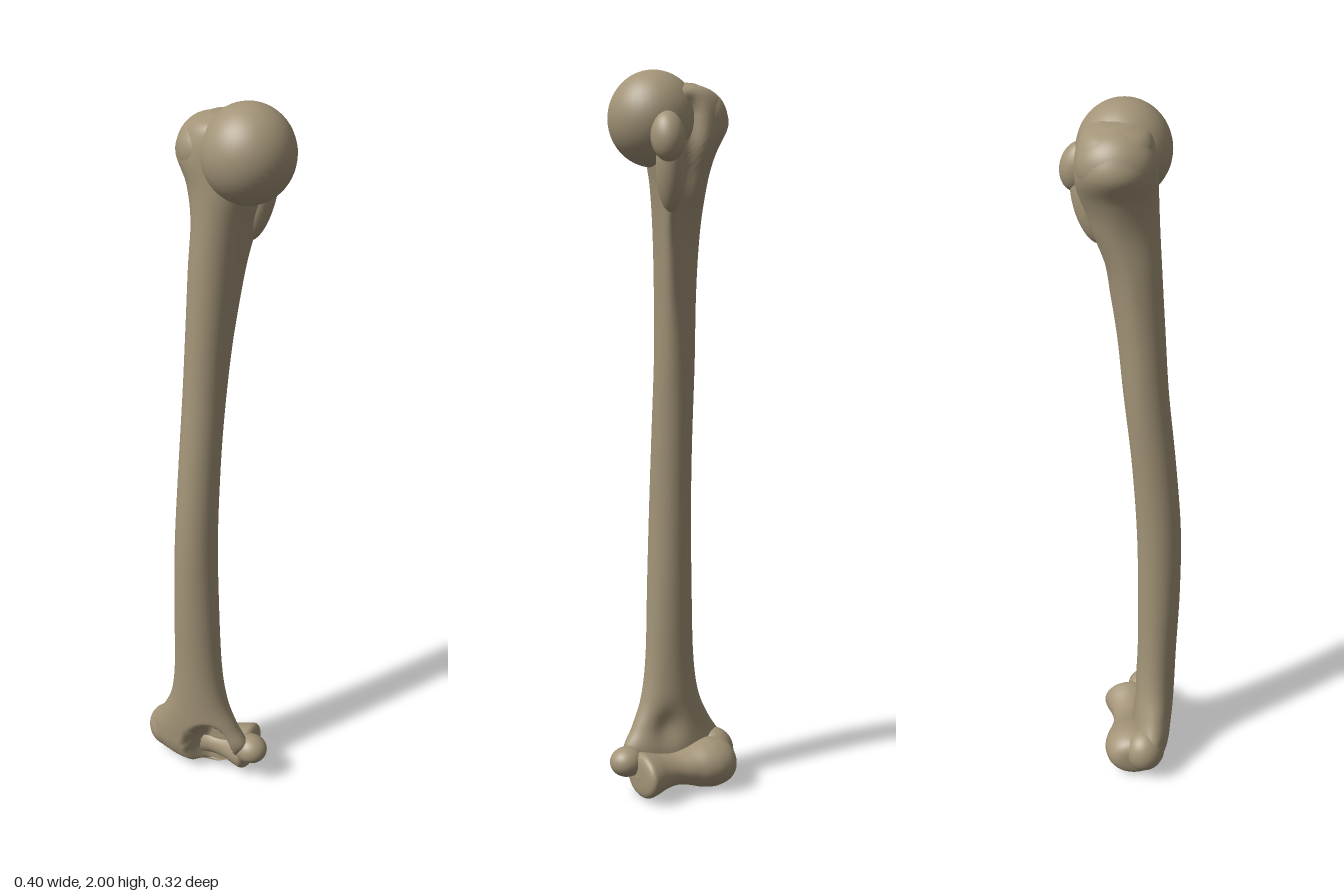
import * as THREE from 'three';

const bone = new THREE.MeshStandardMaterial({ color: 0xa39478 });
bone.name = 'bone';

const { smoothstep, lerp } = THREE.MathUtils;
const bump = (d) => Math.exp(-d * d);

// Cross-sections of the long bone: y, x min, x max, z min, z max
const RINGS = [
  [0.025, -0.08, 0.03, 0.06, 0.09],
  [0.04, -0.14, 0.06, 0.035, 0.12],
  [0.08, -0.18, 0.10, 0.025, 0.135],
  [0.13, -0.175, 0.135, 0.025, 0.142],
  [0.19, -0.138, 0.105, 0.03, 0.147],
  [0.27, -0.103, 0.073, 0.035, 0.15],
  [0.39, -0.087, 0.055, 0.04, 0.153],
  [0.6, -0.082, 0.046, 0.04, 0.16],
  [0.81, -0.077, 0.04, 0.035, 0.158],
  [1.03, -0.072, 0.04, 0.02, 0.14],
  [1.24, -0.069, 0.043, -0.003, 0.118],
  [1.42, -0.066, 0.05, -0.022, 0.106],
  [1.58, -0.066, 0.062, -0.052, 0.096],
  [1.7, -0.068, 0.08, -0.1, 0.089],
  [1.79, -0.087, 0.1, -0.12, 0.085],
  [1.86, -0.12, 0.1, -0.122, 0.082],
  [1.91, -0.108, 0.1, -0.117, 0.075],
  [1.945, -0.078, 0.09, -0.1, 0.06],
  [1.965, -0.03, 0.05, -0.06, 0.02],
];

// Smooth loft through the rings, with ridge, groove and hollow shaped by rule
function shaftGeometry(sides = 56, rows = 150) {
  const curve = (ix, iz) => new THREE.CatmullRomCurve3(
    RINGS.map((r) => new THREE.Vector3(r[ix], r[0], r[iz])), false, 'catmullrom', 0.5);
  const low = curve(1, 3), high = curve(2, 4);
  const pos = [], index = [];
  for (let i = 0; i <= rows; i++) {
    const a = low.getPoint(i / rows), b = high.getPoint(i / rows), y = a.y;
    const crest = 0.04 * smoothstep(y, 1.05, 1.65) * (1 - smoothstep(y, 1.72, 1.84));
    for (let j = 0; j < sides; j++) {
      const t = (j / sides) * Math.PI * 2, c = Math.cos(t), s = Math.sin(t);
      let x = (a.x + b.x) / 2 + ((b.x - a.x) / 2) * c;
      let z = (a.z + b.z) / 2 + ((b.z - a.z) / 2) * s;
      if (s < 0) {
        // crest leaning towards the small tubercle, and the groove beside it
        x += crest * s * s;
        z += 0.03 * -s * bump((x - 0.025) / 0.022) * smoothstep(y, 1.5, 1.75) * (1 - smoothstep(y, 1.88, 1.95));
        // shallow hollow above the joint at the back
        z += 0.02 * -s * bump((x - 0.02) / 0.04) * bump((y - 0.19) / 0.05);
      } else {
        // deep arched hollow above the joint at the front
        const d = Math.hypot((x - 0.035) / 0.072, (y - 0.09) / 0.115);
        if (z > 0.065) z = lerp(z, 0.065, 1 - smoothstep(d, 0.6, 1.05));
      }
      pos.push(x, y, z);
    }
  }
  const bottom = pos.length / 3, top = bottom + 1;
  const centre = (r, dy) => pos.push((r[1] + r[2]) / 2, r[0] + dy, (r[3] + r[4]) / 2);
  centre(RINGS[0], -0.005);
  centre(RINGS[RINGS.length - 1], 0.005);
  for (let j = 0; j < sides; j++) {
    const k = (j + 1) % sides, last = rows * sides;
    for (let i = 0; i < rows; i++) {
      const p = i * sides + j, q = i * sides + k;
      index.push(p, p + sides, q, q, p + sides, q + sides);
    }
    index.push(bottom, j, k, top, last + k, last + j);
  }
  const g = new THREE.BufferGeometry();
  g.setAttribute('position', new THREE.Float32BufferAttribute(pos, 3));
  g.setIndex(index);
  g.computeVertexNormals();
  return g;
}

// Spool-shaped joint surface turned about the x axis: radius, x
function spoolGeometry() {
  const profile = [
    [0.001, -0.178], [0.04, -0.172], [0.062, -0.15], [0.071, -0.11], [0.066, -0.07],
    [0.053, -0.03], [0.045, 0.01], [0.049, 0.05], [0.06, 0.09], [0.062, 0.112],
    [0.045, 0.124], [0.001, 0.127],
  ].map(([r, x]) => new THREE.Vector2(r, x));
  const points = new THREE.SplineCurve(profile).getPoints(60);
  points.forEach((p) => { p.x = Math.max(p.x, 0); });
  return new THREE.LatheGeometry(points, 48).rotateZ(-Math.PI / 2);
}

export function createModel() {
  const model = new THREE.Group();
  model.name = 'armBone';
  const add = (name, geometry) => {
    const mesh = new THREE.Mesh(geometry, bone);
    mesh.name = name;
    model.add(mesh);
    return mesh;
  };
  const ball = (name, centre, radii, tilt = [0, 0, 0]) => {
    const mesh = add(name, new THREE.SphereGeometry(1, 40, 28));
    mesh.position.set(...centre);
    mesh.scale.set(...radii);
    mesh.rotation.set(...tilt);
  };

  add('shaft', shaftGeometry());

  // Upper end
  ball('head', [0.08, 1.875, 0], [0.12, 0.125, 0.12]);
  ball('greaterTubercle', [-0.035, 1.875, -0.02], [0.08, 0.085, 0.098]);
  ball('lesserTubercle', [0.096, 1.825, -0.113], [0.044, 0.066, 0.048], [0.25, 0, 0]);
  ball('tubercleRidge', [0.075, 1.74, -0.085], [0.035, 0.11, 0.045], [-0.25, 0, -0.15]);

  // Lower end
  const spool = add('jointSpool', spoolGeometry());
  spool.position.set(0, 0.074, 0.024);
  spool.scale.z = 1.22;
  spool.rotation.y = 0.06;
  ball('outerEpicondyle', [-0.138, 0.092, 0.062], [0.062, 0.066, 0.058], [0, -0.45, 0]);
  ball('innerEpicondyle', [0.138, 0.106, 0.06], [0.049, 0.042, 0.046]);
  return model;
}
